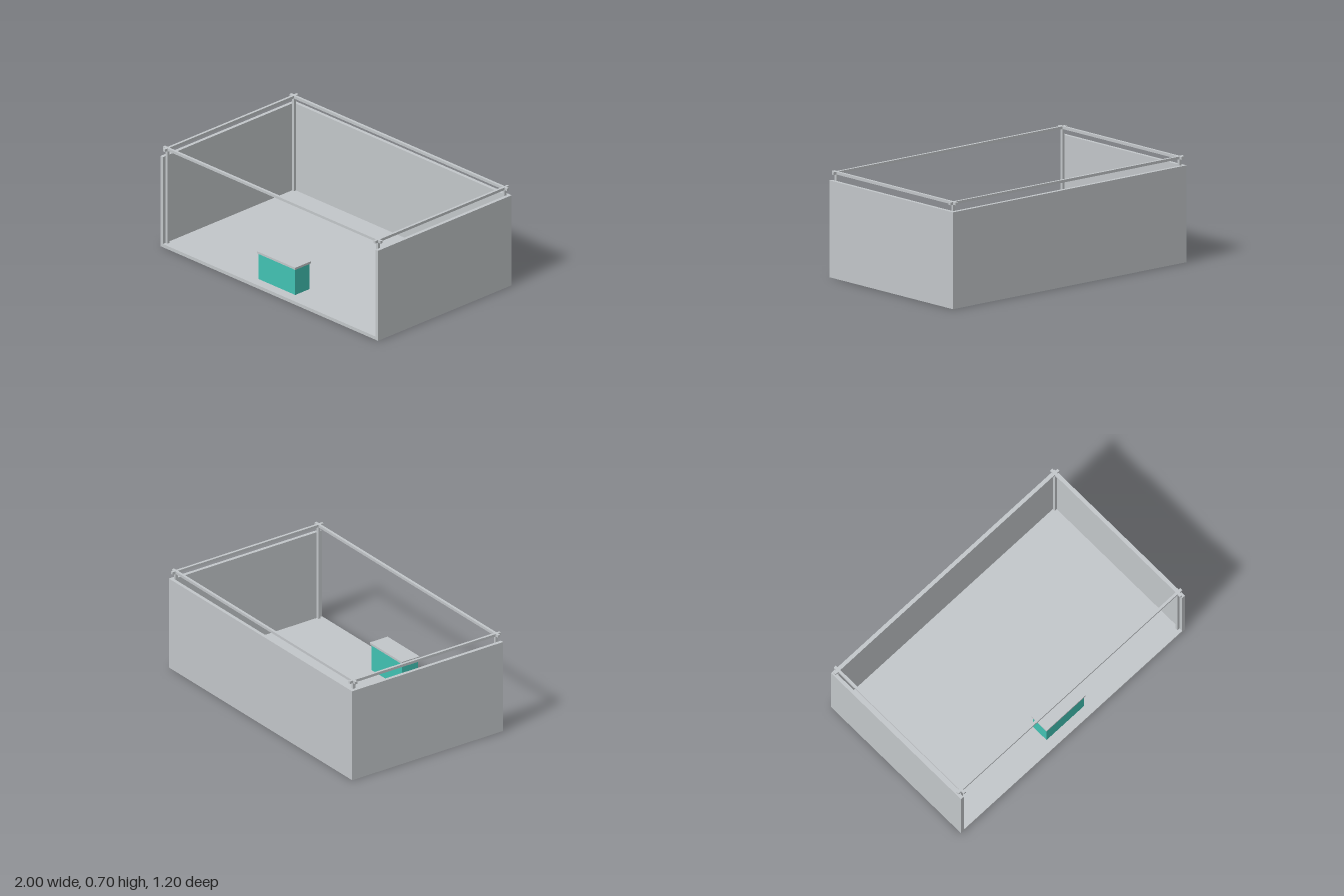
import * as THREE from 'three';

export function createModel() {
  const group = new THREE.Group();
  const grey = new THREE.MeshStandardMaterial({ color: 0xc3c7ca });
  grey.name = 'light grey';
  const teal = new THREE.MeshStandardMaterial({ color: 0x42c3b4 });
  teal.name = 'teal';

  // Box given by its min and max corners
  const box = (name, material, [x0, y0, z0], [x1, y1, z1]) => {
    const mesh = new THREE.Mesh(new THREE.BoxGeometry(x1 - x0, y1 - y0, z1 - z0), material);
    mesh.position.set((x0 + x1) / 2, (y0 + y1) / 2, (z0 + z1) / 2);
    mesh.name = name;
    group.add(mesh);
  };
  // Box given by centre and size
  const block = (name, material, [x, y, z], [w, h, d]) =>
    box(name, material, [x - w / 2, y - h / 2, z - d / 2], [x + w / 2, y + h / 2, z + d / 2]);

  const W = 1, D = 0.6, H = 0.64, T = 0.024, TOP = 0.7, BAR = 0.018;
  const base = 0.001;
  const postX = W - T - BAR / 2, postZ = D - T - BAR / 2;

  // Booth shell, open at the front and top
  box('floor', grey, [-W, base, -D], [W, T, D]);
  box('backWall', grey, [-W + T, T, -D], [W - T, H, -D + T]);
  for (const s of [-1, 1]) {
    const side = s > 0 ? 'left' : 'right';
    block(side + 'Wall', grey, [s * (W - T / 2), (T + H) / 2, 0], [T, H - T, 2 * D]);

    // Overhead frame: side rail, corner posts
    block(side + 'Rail', grey, [s * postX, TOP - BAR / 2, 0], [BAR, BAR, 2 * D]);
    for (const f of [-1, 1]) {
      block(side + (f > 0 ? 'Front' : 'Back') + 'Post', grey,
        [s * postX, (T + TOP - BAR) / 2, f * postZ], [BAR, TOP - BAR - T, BAR]);
    }
    // Front and back rails
    block(s > 0 ? 'frontRail' : 'backRail', grey, [0, TOP - BAR / 2, s * postZ], [2 * W, BAR, BAR]);
  }

  // Reception counter, set through the floor
  box('counterBody', teal, [-0.168, 0, 0.403], [0.168, 0.206, 0.53]);
  box('counterTop', grey, [-0.175, 0.206, 0.396], [0.175, 0.221, 0.537]);

  return group;
}
